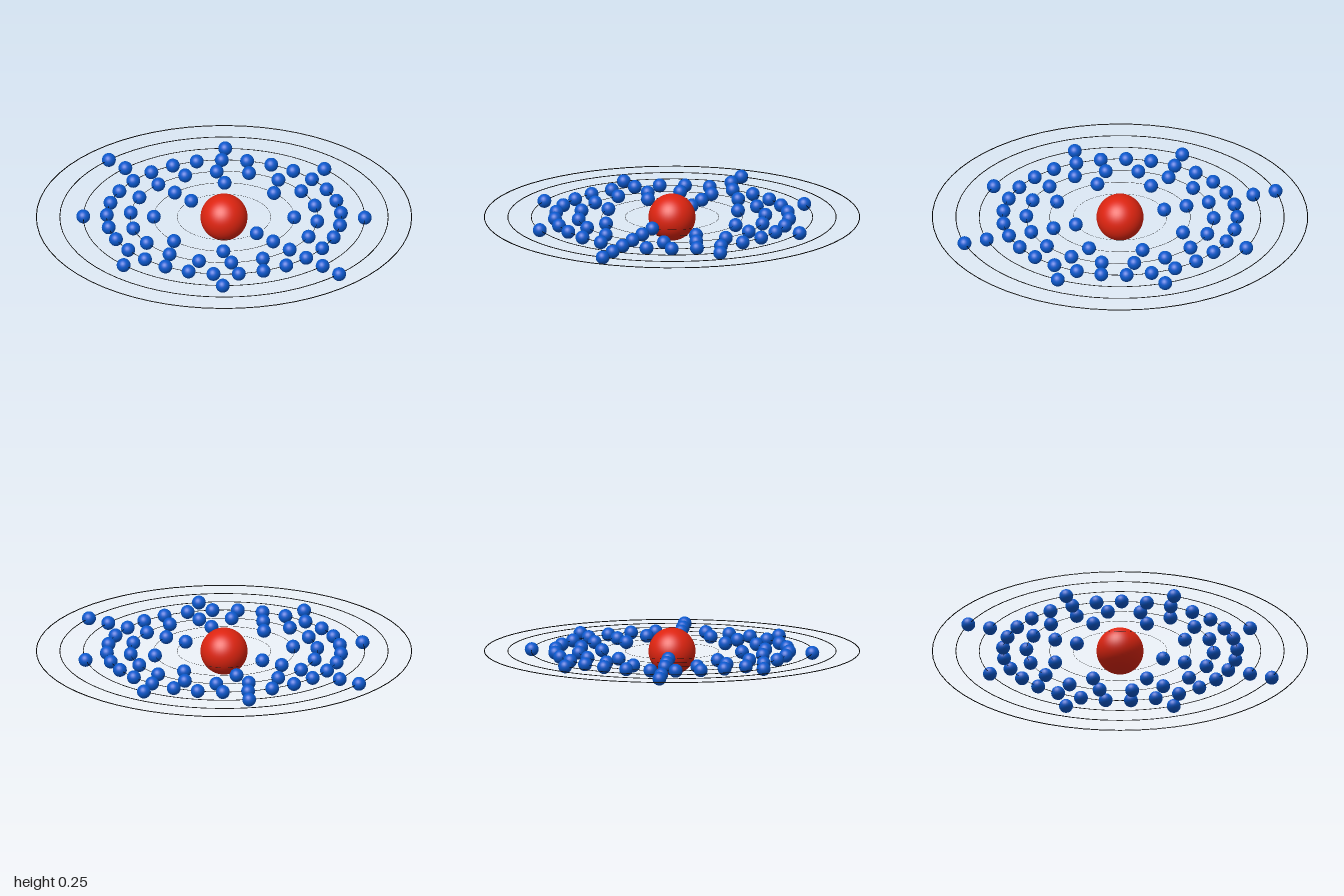
import * as THREE from 'three';

const CENTRE_Y = 0.126;
const SHELLS = [2, 8, 18, 29, 8, 2, 0]; // electrons on each orbit, inside out
const orbitRadius = (i) => 0.25 + 0.125 * i;

export function createModel() {
  const atom = new THREE.Group();
  atom.name = 'atom';

  const red = new THREE.MeshStandardMaterial({ color: 0xdd2410 });
  const blue = new THREE.MeshStandardMaterial({ color: 0x0a58cc });
  const black = new THREE.MeshStandardMaterial({ color: 0x000000 });

  // Nucleus
  const nucleus = new THREE.Mesh(new THREE.SphereGeometry(0.125, 48, 32), red);
  nucleus.name = 'nucleus';
  nucleus.position.y = CENTRE_Y;
  atom.add(nucleus);

  // Each shell: a thin orbit ring with evenly spaced electrons, the first at +z
  const electronGeometry = new THREE.SphereGeometry(0.037, 24, 16);
  SHELLS.forEach((count, i) => {
    const radius = orbitRadius(i);
    const shell = new THREE.Group();
    shell.name = `shell${i + 1}`;
    shell.position.y = CENTRE_Y;

    const tube = 0.0025 * radius;
    const orbit = new THREE.Mesh(new THREE.TorusGeometry(radius - tube, tube, 6, 64), black);
    orbit.name = 'orbitRing';
    orbit.rotation.x = Math.PI / 2;
    shell.add(orbit);

    for (let k = 0; k < count; k++) {
      const angle = (k / count) * Math.PI * 2;
      const electron = new THREE.Mesh(electronGeometry, blue);
      electron.name = 'electron';
      electron.position.set(Math.sin(angle) * (radius - 0.002), 0, Math.cos(angle) * (radius - 0.002));
      shell.add(electron);
    }
    atom.add(shell);
  });

  return atom;
}
